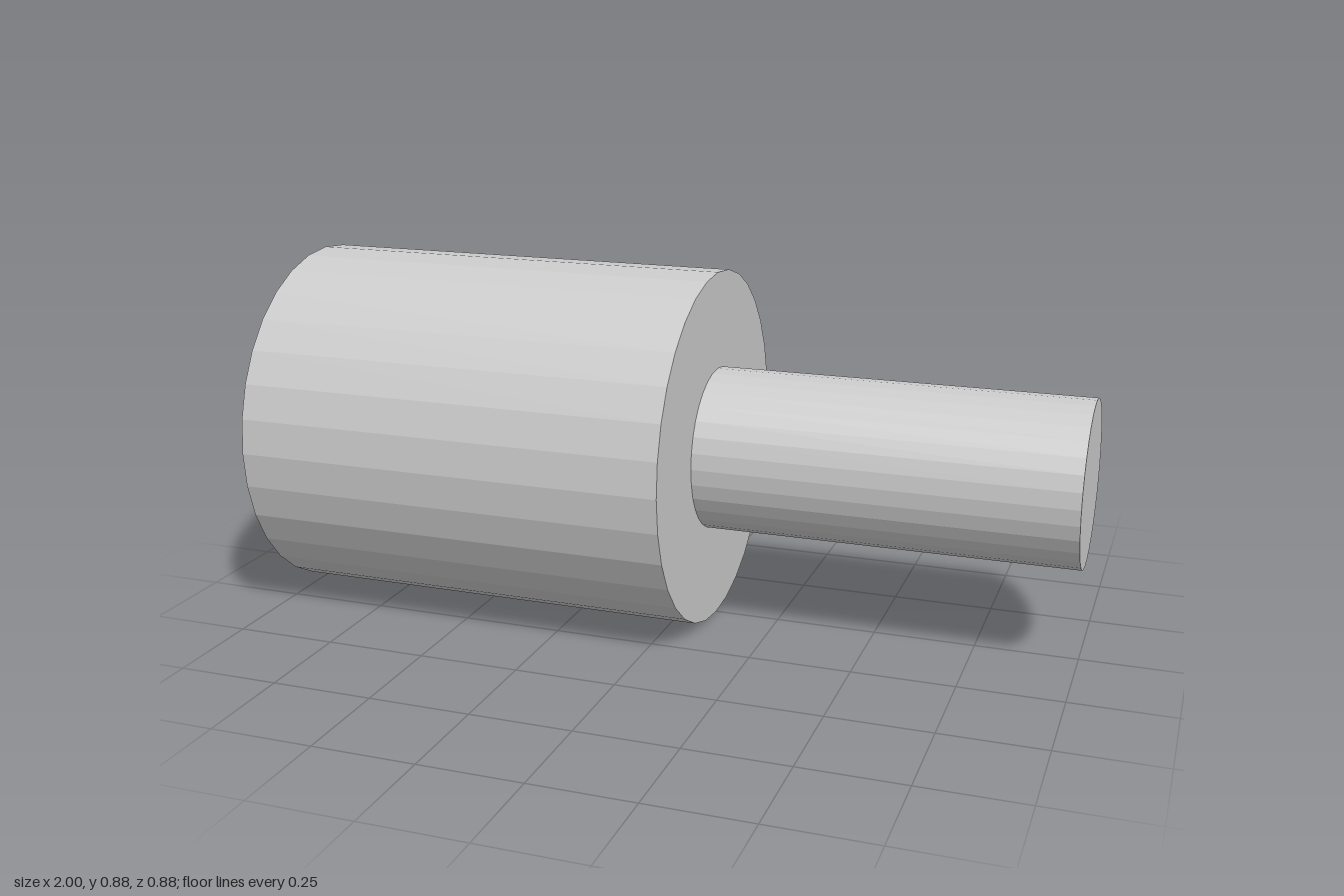
import * as THREE from 'three';

const AXIS_Y = 0.444;

export function createModel() {
  const group = new THREE.Group();
  const material = new THREE.MeshStandardMaterial({ color: 0xcccccc, flatShading: true });

  // Faceted cylinder lying along x between two ends
  function addRod(name, radius, x0, x1) {
    const geometry = new THREE.CylinderGeometry(radius, radius, x1 - x0, 32);
    geometry.rotateZ(-Math.PI / 2);
    const mesh = new THREE.Mesh(geometry, material);
    mesh.name = name;
    mesh.position.set((x0 + x1) / 2, AXIS_Y, 0);
    group.add(mesh);
  }

  // Thick body on the right, narrow shaft on the left
  addRod('body', 0.442, -1, 0.085);
  addRod('shaft', 0.202, 0.085, 1);

  return group;
}
